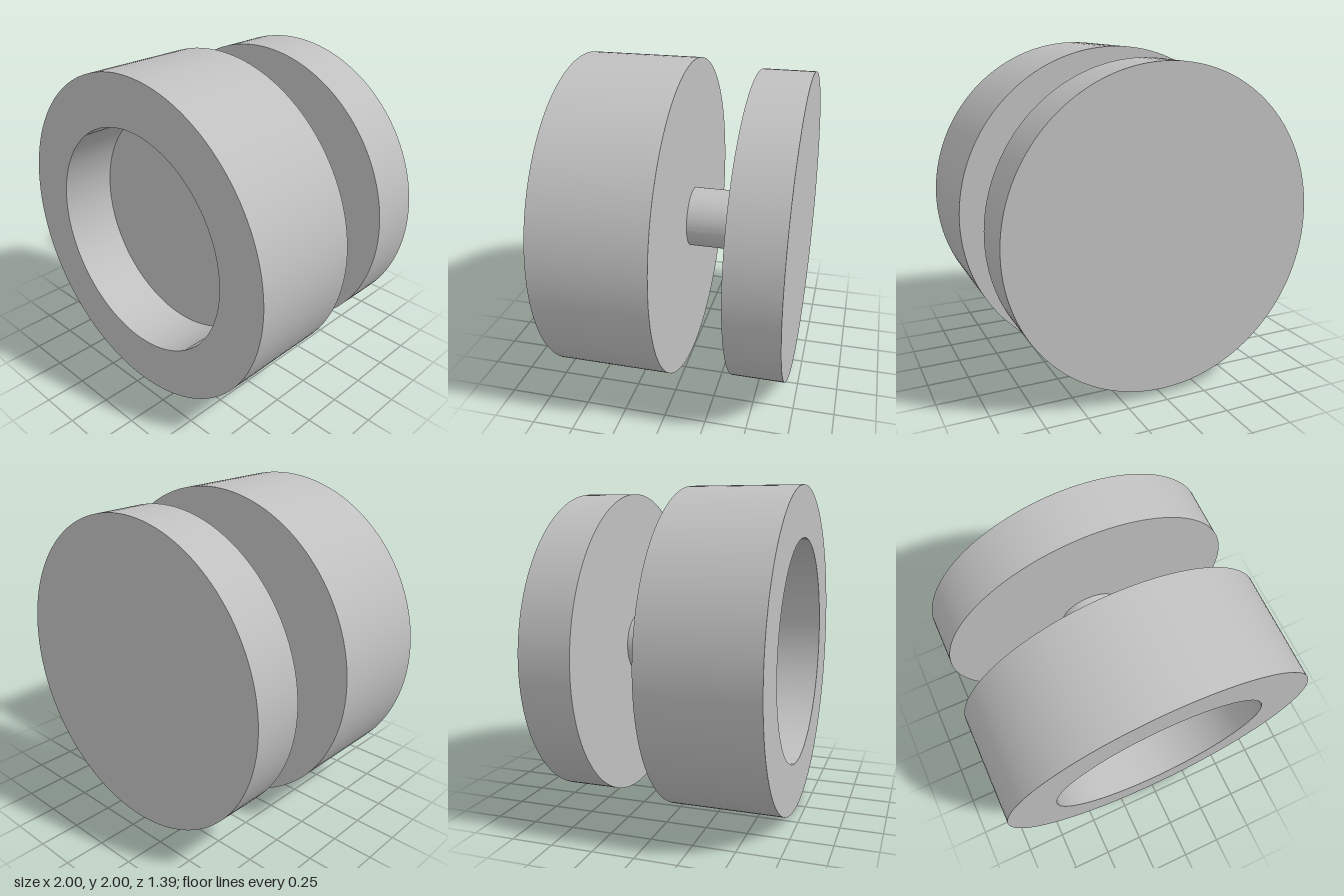
import * as THREE from 'three';
import { toCreasedNormals } from 'three/addons/utils/BufferGeometryUtils.js';

const SEGMENTS = 128;
const AXIS_HEIGHT = 1;

// Solid of revolution about the z axis, from [radius, z] pairs running back to front
function turned(name, profile, material) {
  const points = profile.map(([r, z]) => new THREE.Vector2(r, z));
  const geometry = new THREE.LatheGeometry(points, SEGMENTS);
  geometry.rotateX(Math.PI / 2);
  const mesh = new THREE.Mesh(toCreasedNormals(geometry, 0.6), material);
  mesh.name = name;
  mesh.position.y = AXIS_HEIGHT;
  return mesh;
}

export function createModel() {
  const group = new THREE.Group();
  group.name = 'turnedKnob';
  const grey = new THREE.MeshStandardMaterial({ color: 0xc0c0c0 });
  grey.name = 'grey';

  // Thick front drum with a round recess in its face
  group.add(turned('frontDrum', [
    [0, 0.005], [1, 0.005], [1, 0.697], [0.69, 0.697], [0.69, 0.352], [0, 0.352],
  ], grey));

  // Slim shaft joining the drum and the disc
  group.add(turned('shaft', [[0.187, -0.378], [0.187, 0.005]], grey));

  // Thinner back disc
  group.add(turned('backDisc', [
    [0, -0.697], [0.953, -0.697], [0.953, -0.378], [0, -0.378],
  ], grey));

  return group;
}
